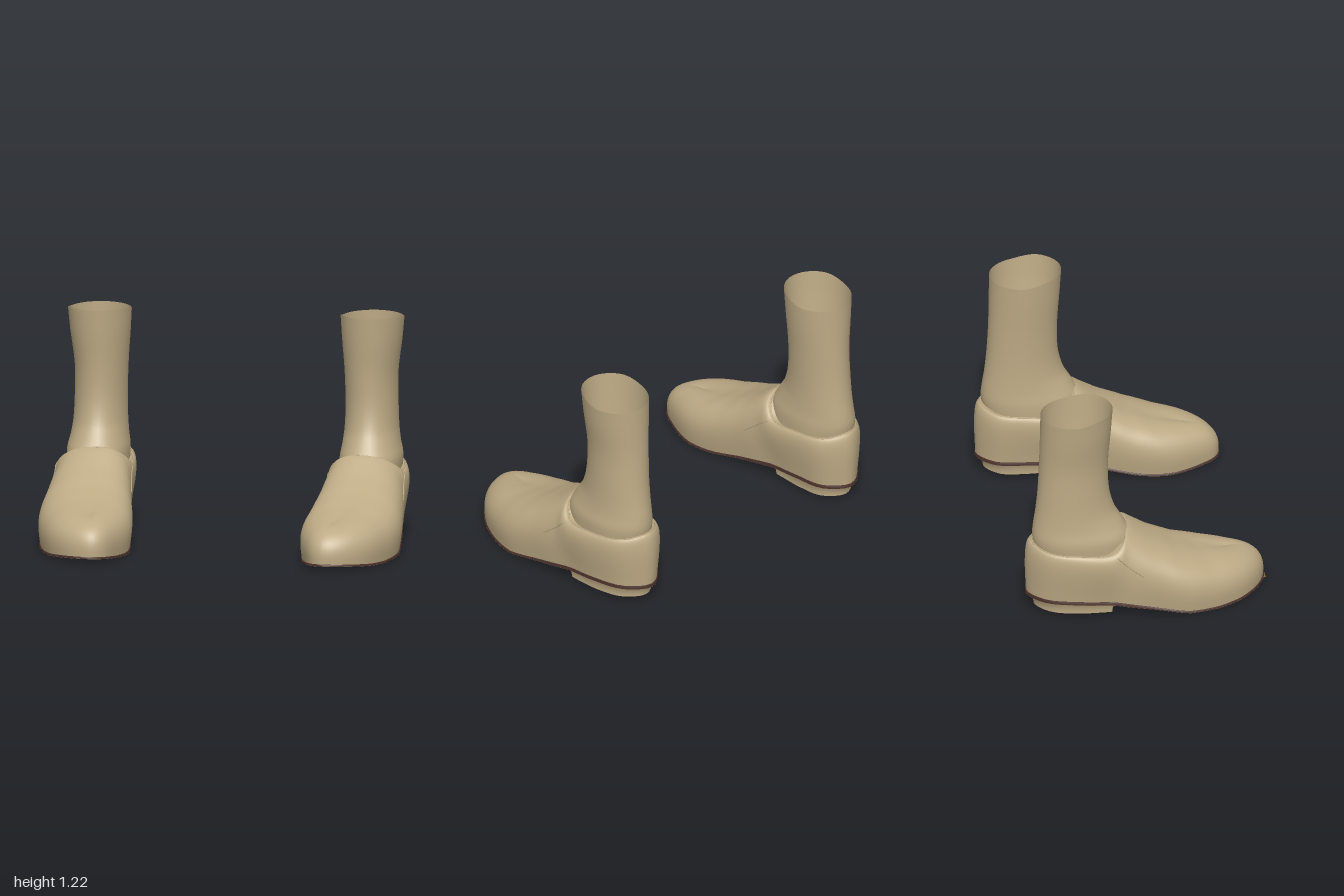
import * as THREE from 'three';
import { mergeVertices } from 'three/addons/utils/BufferGeometryUtils.js';

const mat = (name, color) => {
  const m = new THREE.MeshStandardMaterial({ color, side: THREE.DoubleSide });
  m.name = name;
  return m;
};
const V = (x, y, z) => new THREE.Vector3(x, y, z);
const clamp = THREE.MathUtils.clamp;
const CX = 0.74; // middle of one boot

// Underside height along the length of the boot
const soleCurve = [[-0.7, 0.105], [-0.4, 0.1], [-0.2, 0.088], [0, 0.058], [0.2, 0.022], [0.38, 0.012], [0.5, 0.018], [0.7, 0.042]];
function soleY(z) {
  let i = 0;
  while (i < soleCurve.length - 2 && z > soleCurve[i + 1][0]) i++;
  const [a, b] = [soleCurve[i], soleCurve[i + 1]];
  return THREE.MathUtils.lerp(a[1], b[1], (z - a[0]) / (b[0] - a[0]));
}

// Around the boot from the toe by the outer side: sole edge x, z, then crest or collar x, y, z
const rows = [
  [0.64, 0.662, 0.668, 0.226, 0.44],
  [0.75, 0.63, 0.674, 0.234, 0.41],
  [0.86, 0.53, 0.682, 0.249, 0.36],
  [0.94, 0.37, 0.69, 0.277, 0.27],
  [0.98, 0.2, 0.7, 0.327, 0.15],
  [0.965, 0.02, 0.71, 0.402, 0.02],
  [0.95, -0.12, 0.715, 0.49, -0.105],
  [0.94, -0.18, 0.85, 0.45, -0.14],
  [0.93, -0.24, 0.925, 0.395, -0.215],
  [0.915, -0.4, 0.925, 0.395, -0.38],
  [0.858, -0.575, 0.87, 0.405, -0.555],
  [0.735, -0.66, 0.74, 0.43, -0.637],
  [0.615, -0.57, 0.615, 0.405, -0.56],
  [0.583, -0.4, 0.572, 0.395, -0.4],
  [0.573, -0.24, 0.566, 0.39, -0.23],
  [0.563, -0.17, 0.615, 0.45, -0.155],
  [0.55, -0.1, 0.715, 0.49, -0.105],
  [0.53, 0.02, 0.71, 0.402, 0.02],
  [0.495, 0.17, 0.7, 0.327, 0.15],
  [0.478, 0.35, 0.69, 0.277, 0.27],
  [0.525, 0.53, 0.682, 0.249, 0.36],
  [0.575, 0.63, 0.674, 0.234, 0.41],
];
const N = rows.length;
const edgeCurve = new THREE.CatmullRomCurve3(rows.map(r => V(r[0], 0, r[1])), true);
const tops = rows.map(r => V(r[2], r[3], r[4]));
const topCurve = new THREE.CatmullRomCurve3(tops, true);

function edge(u) {
  const p = edgeCurve.getPoint((u % N) / N);
  p.y = soleY(p.z);
  return p;
}
function top(u) {
  u %= N;
  const i = Math.floor(u);
  if (i >= 6 && i < 16) return topCurve.getPoint(u / N);
  return tops[i].clone().lerp(tops[(i + 1) % N], u - i); // both sides share the crest
}
function outward(p) {
  return V(p.x - CX, 0, p.z - clamp(p.z, -0.45, 0.4)).normalize();
}
// Point on the upper: v runs from the sole edge to the crest or collar
function upper(u, v) {
  const b = edge(u), t = top(u), a = v * Math.PI / 2;
  const h = v >= 1 ? 1 : 1 - Math.pow(Math.cos(a), 0.85);
  const w = v >= 1 ? 1 : Math.pow(Math.sin(a), 0.85);
  const p = V(b.x + (t.x - b.x) * h, b.y + (t.y - b.y) * w, b.z + (t.z - b.z) * h);
  const bulge = 0.046 * Math.sqrt(Math.max(0, 1 - Math.abs(b.z) / 0.7));
  return v >= 1 ? p : p.addScaledVector(outward(b), bulge * Math.sin(2 * a));
}
// Inset heel outline with a straight front
function heelPoint(u, inset, y) {
  const p = edge(u), wide = inset + 0.06;
  const x = clamp(CX + (p.x - CX) * wide, CX - 0.16 * wide, CX + 0.19 * wide);
  return V(x, y ?? p.y, Math.min(-0.185 - (1 - inset) * 0.2, -0.4 + (p.z + 0.4) * inset));
}

// Closed loft: fn(u 0..1 around, v 0..1 across)
function loft(fn, nu, nv, side) {
  const pos = [], idx = [];
  for (let j = 0; j <= nv; j++) {
    for (let i = 0; i < nu; i++) {
      const p = fn(i / nu, j / nv);
      pos.push(p.x * side, p.y, p.z);
    }
  }
  for (let j = 0; j < nv; j++) {
    for (let i = 0; i < nu; i++) {
      const a = j * nu + i, b = j * nu + (i + 1) % nu, c = b + nu, d = a + nu;
      if (side > 0) idx.push(a, b, c, a, c, d);
      else idx.push(a, c, b, a, d, c);
    }
  }
  let g = new THREE.BufferGeometry();
  g.setAttribute('position', new THREE.Float32BufferAttribute(pos, 3));
  g.setIndex(idx);
  g = mergeVertices(g, 1e-5);
  g.computeVertexNormals();
  return g;
}

// Shaft levels: y, inner x, outer x, back z, front z
const levels = [
  [0.36, 0.58, 0.912, -0.61, -0.1], [0.45, 0.58, 0.915, -0.627, -0.095],
  [0.52, 0.59, 0.9, -0.622, -0.13], [0.6, 0.597, 0.89, -0.61, -0.175],
  [0.72, 0.6, 0.885, -0.597, -0.205], [0.9, 0.595, 0.885, -0.587, -0.21],
  [1.08, 0.582, 0.908, -0.582, -0.196], [1.2, 0.575, 0.92, -0.58, -0.187],
];
const low = new THREE.CatmullRomCurve3(levels.map(l => V(l[1], l[0], l[3])));
const high = new THREE.CatmullRomCurve3(levels.map(l => V(l[2], l[0], l[4])));
function shaft(u, v) {
  const a = low.getPoint(v), b = high.getPoint(v), t = u * Math.PI * 2;
  let c = Math.cos(t), s = Math.sin(t);
  const lift = 0.025 * THREE.MathUtils.smoothstep(c, -0.3, 0.6) * clamp(v * 4 - 3, 0, 1);
  if (c > 0) { // squarer instep low down
    const e = 0.75 + 0.25 * clamp(v * 2.5, 0, 1);
    c = Math.pow(c, e);
    s = Math.sign(s) * Math.pow(Math.abs(s), e);
  }
  return V((a.x + b.x) / 2 + (b.x - a.x) / 2 * s, a.y + lift, (a.z + b.z) / 2 + (b.z - a.z) / 2 * c);
}

function seam(points, radius, side) {
  const path = new THREE.CatmullRomCurve3(points.map(p => V(p.x * side, p.y, p.z)));
  return new THREE.TubeGeometry(path, points.length * 3, radius, 6, false);
}

function createBoot(side, mats) {
  const boot = new THREE.Group();
  boot.name = side > 0 ? 'leftBoot' : 'rightBoot';
  const add = (name, geometry, material) => {
    const m = new THREE.Mesh(geometry, material);
    m.name = name;
    boot.add(m);
  };
  add('upper', loft((u, v) => upper(u * N, v), N * 4, 14, side), mats.leather);
  add('shaft', loft(shaft, 40, 28, side), mats.leather);

  // Lining that closes the collar against the shaft
  const middle = V(CX, 0, -0.37);
  add('collarLining', loft((u, v) => {
    const p = top(u * N), y = p.y - 0.012 * v;
    return p.lerp(middle, 0.17 * v).setY(y);
  }, N * 4, 2, side), mats.leather);

  // Raised collar edge and the side seams running forward from it
  const collar = [];
  for (let u = 6; u <= 16; u += 0.5) collar.push(top(u));
  add('collarEdge', seam(collar, 0.004, side), mats.leather);
  const dart = [[0, 1], [0.6, 0.62], [1.5, 0.4], [2.5, 0.3]];
  add('outerSeam', seam(dart.map(([d, v]) => upper(8 - d, v)), 0.004, side), mats.leather);
  add('innerSeam', seam(dart.map(([d, v]) => upper(14 + d, v)), 0.004, side), mats.leather);

  // Welt strip around the sole edge, thinner toward the toe
  const rim = (u, dy) => {
    const p = edge(u * N);
    p.addScaledVector(outward(p), 0.006);
    p.y += dy;
    return p;
  };
  add('welt', loft((u, v) => {
    const p = edge(u * N);
    const topY = 0.001 + 0.008 * (1 - THREE.MathUtils.smoothstep(p.z, -0.2, 0.1));
    if (v === 1) return p.setY(p.y + topY);
    return rim(u, v === 0 ? -0.009 : topY);
  }, N * 4, 2, side), mats.welt);

  // Underside, left open above the hollow heel
  add('sole', loft((u, v) => {
    const e = rim(u, -0.01);
    const inner = e.z < -0.2 ? heelPoint(u * N, 0.94) : V(CX - 0.03, 0, e.z);
    inner.y = soleY(inner.z) - 0.01;
    return inner.lerp(e, v);
  }, N * 4, 1, side), mats.sole);

  // Heel block, waisted toward the ground
  add('heel', loft((u, v) => {
    const y = 0.025 + v * 0.07;
    return heelPoint(u * N, 0.84 + 0.1 * v * v, y);
  }, N * 4, 5, side), mats.leather);
  add('heelTip', loft((u, v) => V(CX, 0.023, -0.4).lerp(heelPoint(u * N, 0.84, 0.023), v), N * 4, 1, side), mats.tip);
  return boot;
}

export function createModel() {
  const mats = {
    leather: mat('tanLeather', 0xbdaa85),
    sole: mat('brownSole', 0x80603a),
    welt: mat('darkWelt', 0x4a302b),
    tip: mat('blackHeelTip', 0x1a1a1a),
  };
  const model = new THREE.Group();
  model.name = 'ankleBoots';
  model.add(createBoot(1, mats), createBoot(-1, mats));
  return model;
}
